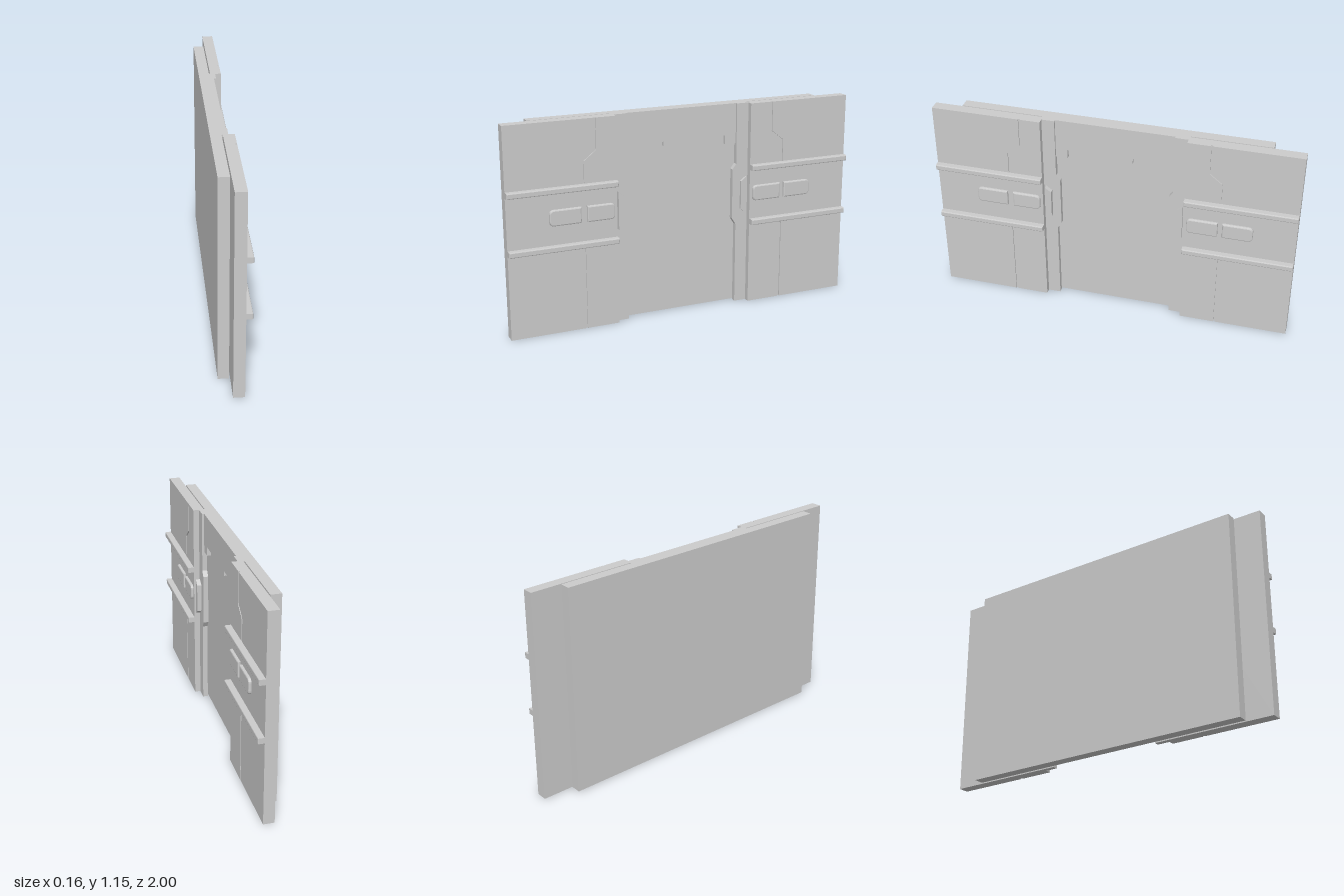
import * as THREE from 'three';

const TOP = 1.155, BACK = -0.016, FACE = 0.044, GROOVE = 0.007;

export function createModel() {
  const group = new THREE.Group();
  const material = new THREE.MeshStandardMaterial({ color: 0xcccccc, flatShading: true });

  // Extrude an outline given as [z, y] points from x0 to x1, with an optional bevel on the outer face
  function plate(name, points, x0, x1, bevel = 0) {
    const shape = new THREE.Shape(points.map(([z, y]) => new THREE.Vector2(-z, y)));
    const geometry = new THREE.ExtrudeGeometry(shape, {
      depth: x1 - x0 - bevel, bevelEnabled: bevel > 0,
      bevelThickness: bevel, bevelSize: bevel, bevelOffset: -bevel, bevelSegments: 2,
    });
    geometry.rotateY(Math.PI / 2);
    geometry.translate(x0, 0, 0);
    const mesh = new THREE.Mesh(geometry, material);
    mesh.name = name;
    group.add(mesh);
  }
  const rect = (z0, z1, y0, y1) => [[z0, y0], [z1, y0], [z1, y1], [z0, y1]];

  // Rectangle whose corners at the outer end (z1) are rounded
  function roundedEnd(z0, z1, y0, y1, r) {
    const points = [[z0, y1], [z0, y0]], s = Math.sign(z1 - z0);
    for (const [cy, start] of [[y0 + r, -Math.PI / 2], [y1 - r, 0]]) {
      for (let i = 0; i <= 4; i++) {
        const a = start + (i / 4) * Math.PI / 2;
        points.push([z1 - s * r + s * r * Math.cos(a), cy + r * Math.sin(a)]);
      }
    }
    return points;
  }

  // Door slab behind the frame, with a narrow running gap
  plate('doorSlab', rect(-0.83, 0.85, 0.004, TOP), -0.08, -0.022);

  // Stepped header above the doorway
  plate('header', [
    [0.4, TOP], [0.4, 0.93], [0.26, 0.93], [0.26, 0.98], [0.107, 0.98], [0.107, 0.955],
    [-0.1, 0.955], [-0.1, 0.98], [-0.26, 0.98], [-0.26, 0.93], [-0.4, 0.93], [-0.4, TOP],
  ], -0.023, 0);

  for (const s of [1, -1]) {
    const side = s > 0 ? 'left' : 'right';
    const part = (name, points, x0, x1, bevel) =>
      plate(side + name, points.map(([z, y]) => [s * z, y]), x0, x1, bevel);

    // Door jamb that widens at mid height, with its grip
    part('Jamb', [
      [0.4, 0], [0.325, 0], [0.325, 0.465], [0.303, 0.5],
      [0.303, 0.785], [0.325, 0.815], [0.325, TOP], [0.4, TOP],
    ], BACK, 0.012);
    part('Grip', [[0.383, 0.53], [0.35, 0.555], [0.35, 0.715], [0.383, 0.74]],
      0.011, s > 0 ? 0.037 : 0.026);

    // Wall panel: a base covered by plates that leave narrow grooves
    const g = s > 0 ? 0.575 : 0.59, h = s > 0 ? 0.505 : 0.52, w = 0.01;
    part('WallBase', rect(0.395, 1, 0, TOP), BACK, FACE - GROOVE);
    const skin = (name, points) => part(name, points, FACE - GROOVE, FACE);
    skin('LowerInnerPlate', rect(0.395, g, 0, 0.48));
    skin('LowerOuterPlate', rect(g + w, 1, 0, 0.48));
    skin('MiddlePlate', rect(0.395, 1, 0.48, 0.8));
    skin('UpperInnerPlate', [[0.395, 0.8], [g, 0.8], [g, 0.93], [h, 0.985], [h, TOP], [0.395, TOP]]);
    skin('UpperOuterPlate', [[1, 0.8], [g + w, 0.8], [g + w, 0.935], [h + w, 0.99], [h + w, TOP], [1, TOP]]);

    // Horizontal guard rails with softened outer edges
    for (const y of [0.466, 0.78]) {
      part('Rail', rect(0.395, 1, y, y + 0.031), FACE - 0.002, 0.078, 0.005);
    }

    // Pair of raised pads, rounded on their far ends
    const [a, b, c, d] = s > 0 ? [0.41, 0.565, 0.597, 0.772] : [0.41, 0.58, 0.605, 0.77];
    part('InnerPad', roundedEnd(b, a, 0.602, 0.69, 0.022), FACE - 0.002, 0.059, 0.007);
    part('OuterPad', roundedEnd(c, d, 0.602, 0.69, 0.022), FACE - 0.002, 0.059, 0.007);
  }
  return group;
}
